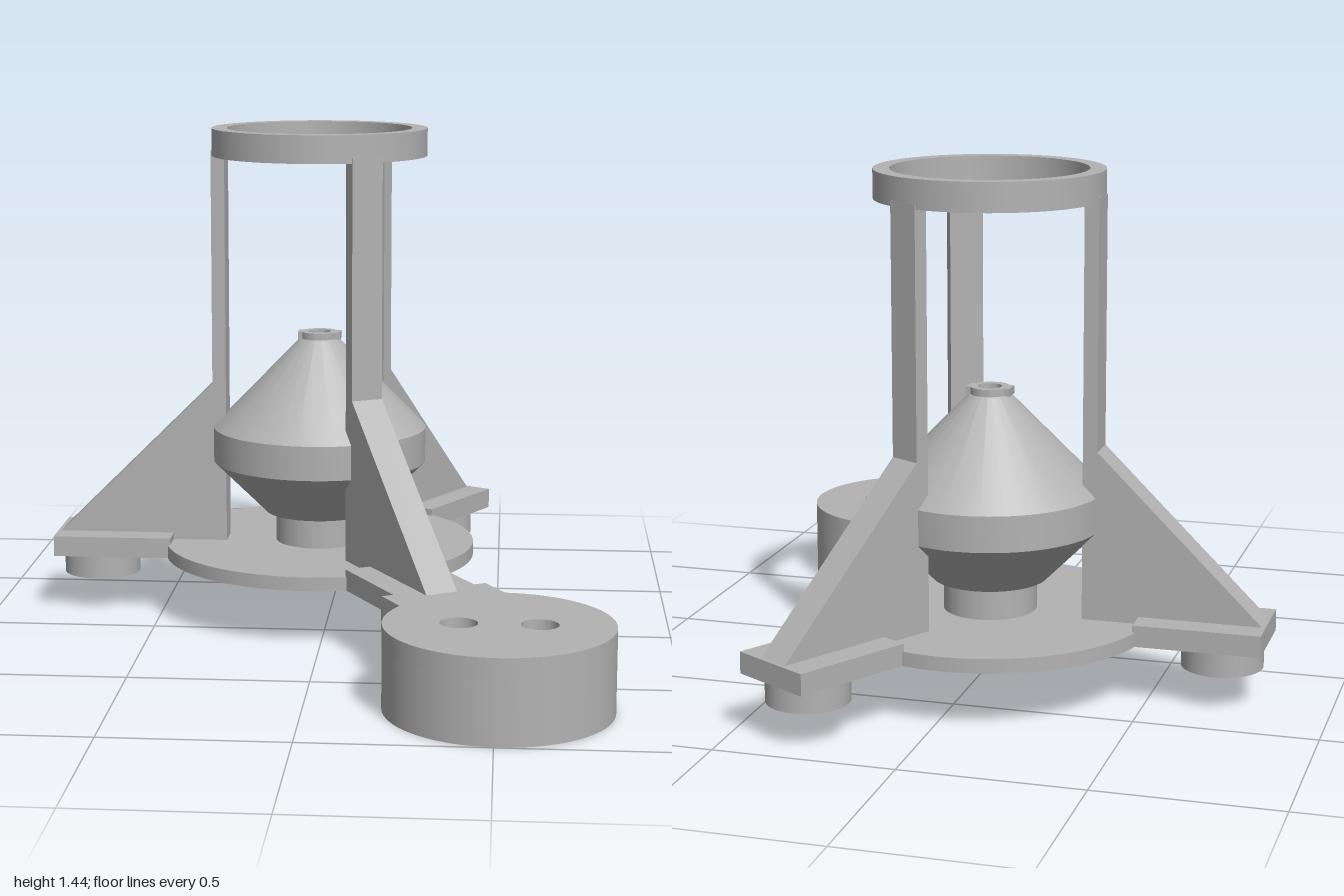
import * as THREE from 'three';
import { toCreasedNormals } from 'three/addons/utils/BufferGeometryUtils.js';

export function createModel() {
  const model = new THREE.Group();
  model.name = 'filterStand';
  const grey = new THREE.MeshStandardMaterial({ color: 0xb2b2b2 });
  grey.name = 'plain grey';

  const add = (parent, name, geometry, x = 0, y = 0, z = 0) => {
    const mesh = new THREE.Mesh(geometry, grey);
    mesh.name = name;
    mesh.position.set(x, y, z);
    parent.add(mesh);
    return mesh;
  };
  // Closed profile of [radius, height], listed up the outside and down the inside
  const lathe = (profile, segments = 72) => {
    const pts = [...profile, profile[0]].map(([r, y]) => new THREE.Vector2(r, y));
    return toCreasedNormals(new THREE.LatheGeometry(pts, segments), 0.5);
  };
  // Internal screw ridges running down from y1 to y0
  const ridges = (r, depth, y0, y1, count) => {
    const out = [];
    const step = (y1 - y0) / count;
    for (let i = 0; i < count; i++) {
      const y = y1 - i * step;
      out.push([r, y], [r, y - step * 0.3], [r + depth, y - step * 0.5], [r + depth, y - step * 0.8]);
    }
    out.push([r, y0]);
    return out;
  };

  // Everything on the tower shares one vertical axis
  const tower = new THREE.Group();
  tower.name = 'tower';
  tower.position.set(-0.035, 0, -0.26);
  model.add(tower);

  // Base disc, hollow double-cone vessel and top ring
  add(tower, 'baseDisc', lathe([[0.106, 0.17], [0.46, 0.17], [0.46, 0.21], [0.106, 0.21]], 96));
  add(tower, 'vessel', lathe([
    [0.102, 0.172], [0.13, 0.172], [0.13, 0.3], [0.16, 0.3], [0.315, 0.455], [0.315, 0.555],
    [0.057, 0.82], [0.033, 0.82], [0.033, 0.79],
    [0.28, 0.54], [0.28, 0.47], [0.14, 0.33],
    ...ridges(0.098, 0.012, 0.18, 0.31, 4),
  ], 96));
  add(tower, 'spout', lathe([[0.033, 0.81], [0.055, 0.81], [0.055, 0.84], [0.033, 0.84]], 48));
  for (const s of [-1, 1]) {
    add(tower, 'spoutLug', new THREE.BoxGeometry(0.025, 0.022, 0.05), s * 0.05, 0.829, 0);
  }
  add(tower, 'topRing', lathe([[0.27, 1.36], [0.315, 1.36], [0.315, 1.44], [0.27, 1.44]], 96));

  // Sloping fin and upright post as one plate, seen from its side
  const fin = new THREE.Shape([
    [0.275, 0.2], [0.775, 0.2], [0.775, 0.23], [0.315, 0.685], [0.315, 1.375], [0.275, 1.375],
  ].map(([r, y]) => new THREE.Vector2(r, y)));
  const finGeometry = new THREE.ExtrudeGeometry(fin, { depth: 0.095, bevelEnabled: false });
  finGeometry.translate(0, 0, -0.0475);

  // Three legs at equal angles
  const legs = [Math.PI, Math.PI / 3, -Math.PI / 3].map((angle) => {
    const leg = new THREE.Group();
    leg.name = 'leg';
    leg.rotation.y = -angle;
    tower.add(leg);
    add(leg, 'finAndPost', finGeometry);
    add(leg, 'legArm', new THREE.BoxGeometry(0.35, 0.06, 0.25), 0.61, 0.2, 0);
    add(leg, 'foot', toCreasedNormals(new THREE.CylinderGeometry(0.113, 0.113, 0.07, 48), 0.5), 0.66, 0.135, 0);
    return leg;
  });

  // Bracket joining the front leg to the cup
  add(legs[1], 'cupBracket', new THREE.BoxGeometry(0.115, 0.06, 0.32), 0.7875, 0.2, 0);

  // Upturned cup with a screw rim and two holes in its top
  const cup = new THREE.Group();
  cup.name = 'cup';
  cup.position.set(0.51, 0, 0.693);
  model.add(cup);
  add(cup, 'cupWall', lathe([
    [0.25, 0], [0.305, 0], [0.305, 0.18], [0.195, 0.18], [0.195, 0.1], [0.25, 0.1],
    ...ridges(0.238, 0.012, 0.025, 0.1, 2), [0.25, 0.025],
  ], 96));
  const lid = new THREE.Shape().absarc(0, 0, 0.305, 0, Math.PI * 2, false);
  for (const x of [-0.105, 0.105]) {
    lid.holes.push(new THREE.Path().absarc(x, 0, 0.05, 0, Math.PI * 2, true));
  }
  const lidGeometry = new THREE.ExtrudeGeometry(lid, { depth: 0.05, bevelEnabled: false, curveSegments: 48 });
  lidGeometry.rotateX(-Math.PI / 2);
  add(cup, 'cupLid', toCreasedNormals(lidGeometry, 0.5), 0, 0.18, 0);

  return model;
}
